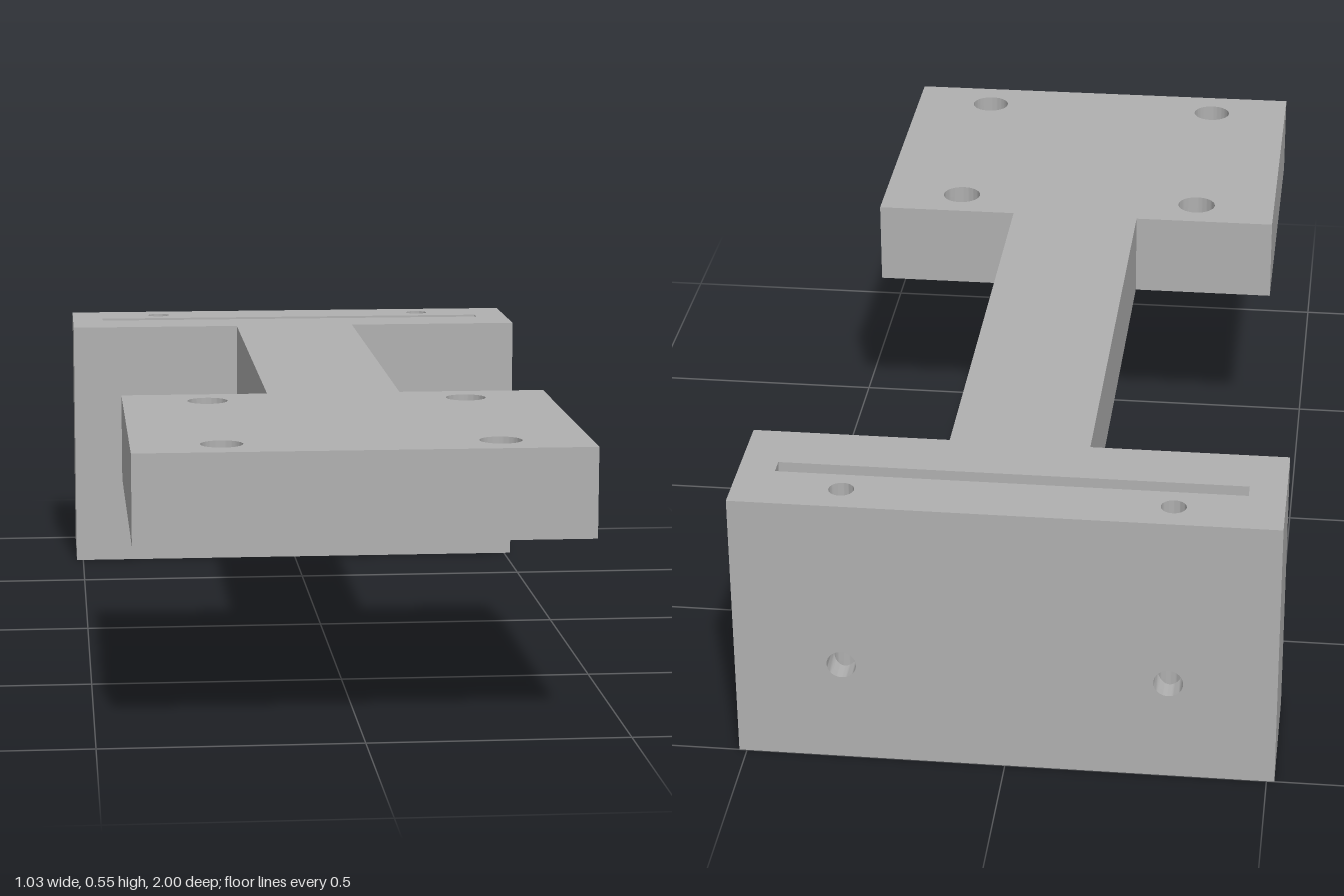
import * as THREE from 'three';
import { mergeGeometries, toCreasedNormals } from 'three/addons/utils/BufferGeometryUtils.js';
import { ParametricGeometry } from 'three/addons/geometries/ParametricGeometry.js';

const TOP = 0.552, UNDER = 0.38;          // plate and arm heights
const HW = 0.515, BACK = -1, FRONT = -0.725; // end block
const SLOT = { hw: 0.445, back: -0.88, front: -0.845 };
const PIN = { x: 0.31, z: -0.935, r: 0.024 };  // vertical bores
const BOLT = { x: 0.31, y: 0.207, r: 0.028 };  // horizontal bores

const polygon = pts => new THREE.Shape(pts.map(p => new THREE.Vector2(...p)));
const rect = (hw, y0, y1) => polygon([[-hw, y0], [hw, y0], [hw, y1], [-hw, y1]]);

function addHole(shape, x, y, r) {
  const hole = new THREE.Path();
  hole.absarc(x, y, r, 0, Math.PI * 2, true);
  shape.holes.push(hole);
}

// Plate and arm: one outline in x and z, extruded downward
function plateAndArm() {
  const half = [[0.135, FRONT], [0.135, 0.31], [0.43, 0.31], [0.43, 1]];
  const shape = polygon([...half, ...half.map(([x, z]) => [-x, z]).reverse()]);
  for (const x of [-0.26, 0.26]) for (const z of [0.395, 0.91]) addHole(shape, x, z, 0.04);
  const geo = new THREE.ExtrudeGeometry(shape, { depth: TOP - UNDER, bevelEnabled: false, curveSegments: 32 });
  return toCreasedNormals(geo.rotateX(Math.PI / 2).translate(0, TOP, 0), 0.5);
}

// Ruled wall of a bore, facing its axis
const bore = fn => new ParametricGeometry(fn, 64, 1);

function endBlock() {
  const parts = [];

  // Top and bottom faces, pierced by the slot and the vertical bores
  for (const s of [1, -1]) {
    const span = (a, b) => [-s * a, -s * b].sort((p, q) => p - q);
    const shape = rect(HW, ...span(BACK, FRONT));
    shape.holes.push(rect(SLOT.hw, ...span(SLOT.back, SLOT.front)));
    for (const x of [-PIN.x, PIN.x]) addHole(shape, x, -s * PIN.z, PIN.r);
    parts.push(new THREE.ShapeGeometry(shape, 64).rotateX(-s * Math.PI / 2).translate(0, s > 0 ? TOP : 0, 0));
  }

  // Front and back faces and the long slot walls, pierced by the horizontal bores
  for (const [z, hw, turn] of [[FRONT, HW, 0], [BACK, HW, Math.PI], [SLOT.back, SLOT.hw, 0], [SLOT.front, SLOT.hw, Math.PI]]) {
    const shape = rect(hw, 0, TOP);
    for (const x of [-BOLT.x, BOLT.x]) addHole(shape, x, BOLT.y, BOLT.r);
    parts.push(new THREE.ShapeGeometry(shape, 64).rotateY(turn).translate(0, 0, z));
  }

  for (const s of [1, -1]) {
    // Outer side and slot end
    parts.push(new THREE.PlaneGeometry(FRONT - BACK, TOP).rotateY(s * Math.PI / 2)
      .translate(s * HW, TOP / 2, (FRONT + BACK) / 2));
    parts.push(new THREE.PlaneGeometry(SLOT.front - SLOT.back, TOP).rotateY(-s * Math.PI / 2)
      .translate(s * SLOT.hw, TOP / 2, (SLOT.front + SLOT.back) / 2));

    // Vertical bore, trimmed where it meets the horizontal bore
    for (const above of [true, false]) {
      parts.push(bore((u, v, p) => {
        const a = u * Math.PI * 2, x = PIN.r * Math.cos(a);
        const h = Math.sqrt(BOLT.r ** 2 - x ** 2);
        const [y0, y1] = above ? [BOLT.y + h, TOP] : [0, BOLT.y - h];
        p.set(s * PIN.x + x, v ? y1 : y0, PIN.z + PIN.r * Math.sin(a));
      }));
    }

    // Horizontal bore: behind and ahead of the vertical bore, then beyond the slot
    for (const range of [h => [BACK, PIN.z - h], h => [PIN.z + h, SLOT.back], () => [SLOT.front, FRONT]]) {
      parts.push(bore((u, v, p) => {
        const a = -u * Math.PI * 2, x = BOLT.r * Math.cos(a);
        const h = Math.sqrt(Math.max(0, PIN.r ** 2 - x ** 2));
        p.set(s * BOLT.x + x, BOLT.y + BOLT.r * Math.sin(a), range(h)[v ? 1 : 0]);
      }));
    }
  }
  return toCreasedNormals(mergeGeometries(parts), 0.5);
}

export function createModel() {
  const grey = new THREE.MeshStandardMaterial({ color: 0xb0b0b0 });
  grey.name = 'grey';
  const model = new THREE.Group();
  model.name = 'mountingBracket';
  for (const [name, geo] of [['plateAndArm', plateAndArm()], ['endBlock', endBlock()]]) {
    const mesh = new THREE.Mesh(geo, grey);
    mesh.name = name;
    model.add(mesh);
  }
  return model;
}
